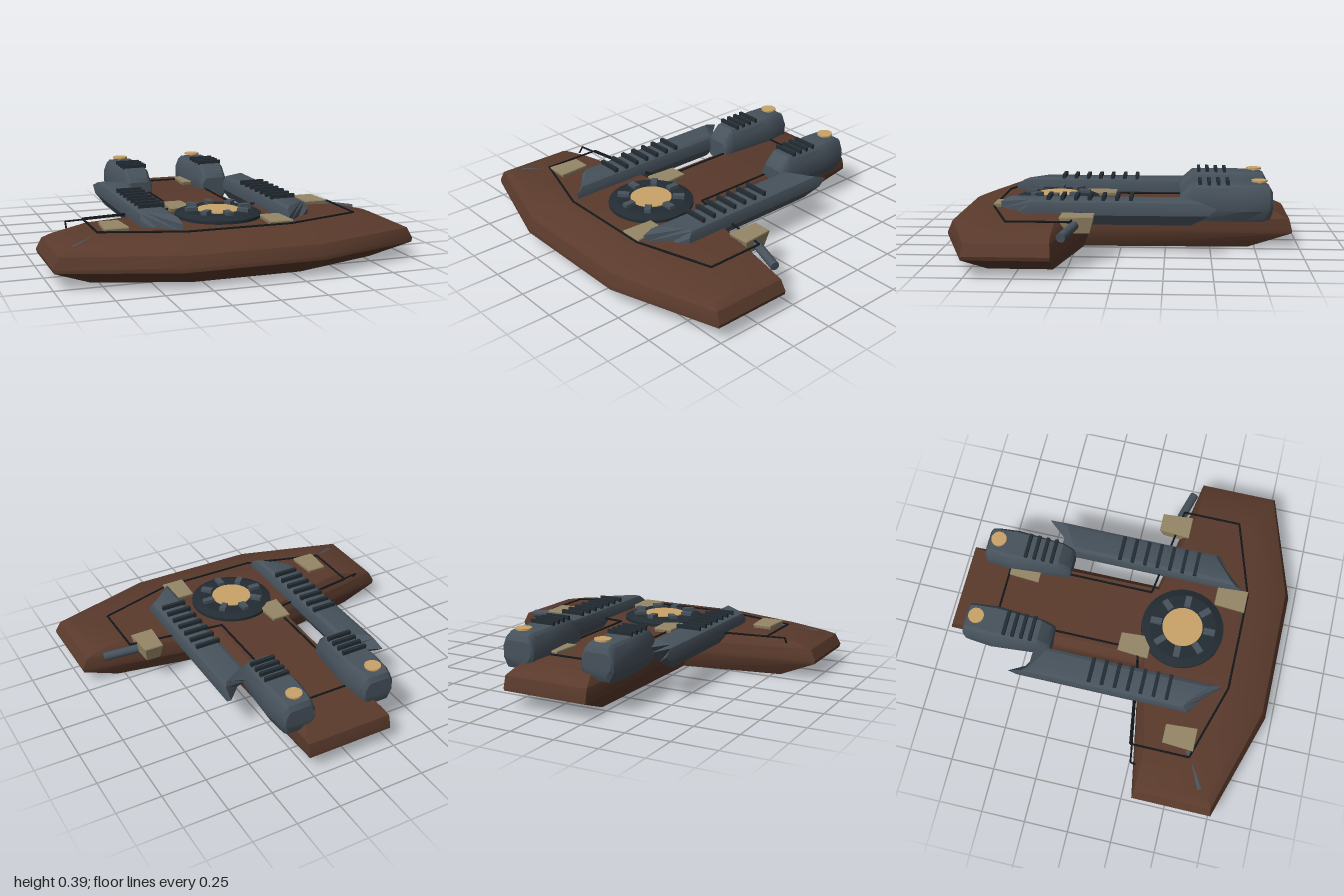
import * as THREE from 'three';
import { toCreasedNormals } from 'three/addons/utils/BufferGeometryUtils.js';

const mat = (name, color) => new THREE.MeshStandardMaterial({ name, color });

// Closed skin through a list of equal-length rings, capped at both ends
function loft(rings, crease = 0.45) {
  const n = rings[0].length, tris = [];
  const tri = (a, b, c) => tris.push([a, b, c]);
  for (let k = 0; k < rings.length - 1; k++) {
    const a = rings[k], b = rings[k + 1];
    for (let i = 0; i < n; i++) {
      const j = (i + 1) % n;
      tri(a[i], a[j], b[j]);
      tri(a[i], b[j], b[i]);
    }
  }
  const first = rings[0], last = rings[rings.length - 1];
  for (let i = 0; i < n / 2 - 1; i++) {
    const p = n - 1 - i, q = n - 2 - i;
    tri(last[i], last[i + 1], last[q]);
    tri(last[i], last[q], last[p]);
    tri(first[q], first[i + 1], first[i]);
    tri(first[p], first[q], first[i]);
  }
  // Turn the faces outward if the rings ran the other way
  let volume = 0;
  for (const [a, b, c] of tris) volume += a.dot(b.clone().cross(c));
  if (volume < 0) tris.forEach((t) => t.reverse());
  const g = new THREE.BufferGeometry().setFromPoints(tris.flat());
  g.computeVertexNormals();
  return toCreasedNormals(g, crease);
}

export function createModel() {
  const root = new THREE.Group();
  const hullBrown = mat('hull brown', 0x5a3a2c);
  const steel = mat('blue grey steel', 0x47525c);
  const dark = mat('dark steel', 0x232c33);
  const trim = mat('black trim', 0x14181b);
  const tan = mat('tan housing', 0x968767);
  const gold = mat('gold panel', 0xc9a469);
  const V = (x, y, z) => new THREE.Vector3(x, y, z);

  const add = (name, geo, material, x = 0, y = 0, z = 0, parent = root) => {
    const m = new THREE.Mesh(geo, material);
    m.name = name;
    m.position.set(x, y, z);
    parent.add(m);
    return m;
  };
  // Rod between two points
  const rod = (name, a, b, r, material, sides = 6) => {
    const d = b.clone().sub(a);
    const m = add(name, new THREE.CylinderGeometry(r, r, d.length(), sides), material);
    m.position.copy(a).add(b).multiplyScalar(0.5);
    m.quaternion.setFromUnitVectors(V(0, 1, 0), d.normalize());
  };

  // Hull: T-shaped plan, half outline per height from bow to stern
  const levels = [
    [0, [[0.3, 0.82], [0.79, 0.66], [0.79, 0.32], [0.22, 0.21], [0.2, -0.71]]],
    [0.09, [[0.38, 0.955], [0.995, 0.76], [0.995, 0.31], [0.25, 0.18], [0.25, -0.955]]],
    [0.11, [[0.38, 0.955], [1, 0.76], [1, 0.31], [0.25, 0.18], [0.25, -0.955]]],
    [0.17, [[0.37, 0.93], [0.97, 0.75], [0.97, 0.315], [0.25, 0.185], [0.248, -0.94]]],
    [0.19, [[0.35, 0.89], [0.92, 0.72], [0.92, 0.32], [0.24, 0.19], [0.235, -0.9]]],
    [0.233, [[0.3, 0.79], [0.73, 0.66], [0.73, 0.32], [0.21, 0.2], [0.2, -0.8]]],
  ];
  add('hull', loft(levels.map(([y, half]) => [
    ...half.map(([x, z]) => V(x, y, z)),
    ...half.map(([x, z]) => V(-x, y, z)).reverse(),
  ])), hullBrown);

  // Deck trim line, and a second rail behind the right wing
  const side = [[0.29, 0.71], [0.73, 0.575], [0.73, 0.24], [0.18, 0.16], [0.18, -0.685]];
  const loop = [...side, ...side.map(([x, z]) => [-x, z]).reverse()];
  loop.forEach(([x, z], i) => {
    const [u, w] = loop[(i + 1) % loop.length];
    rod('deckTrim', V(x, 0.237, z), V(u, 0.237, w), 0.006, trim);
  });
  const rail = [V(-0.83, 0.2, 0.29), V(-0.83, 0.234, 0.265), V(-0.25, 0.234, 0.175)];
  for (let i = 0; i < 2; i++) rod('rearRail', rail[i], rail[i + 1], 0.005, trim);

  // Long side arms and rear pods, mirrored
  for (const s of [1, -1]) {
    const group = new THREE.Group();
    group.name = s > 0 ? 'leftNacelle' : 'rightNacelle';
    root.add(group);

    // Arm: rounded section with slanted, tapering ends
    const section = [[0.33, 0.304], [0.45, 0.304], [0.472, 0.294], [0.482, 0.265], [0.482, 0.225],
      [0.445, 0.168], [0.335, 0.168], [0.3, 0.225], [0.3, 0.265], [0.31, 0.294]];
    const front = section.map(([x, y]) =>
      V(s * x, y, 0.67 - (x - 0.3) * 0.89 - Math.max(0, y - 0.265) * 1.2));
    const back = section.map(([x, y]) =>
      V(s * x, y, -0.53 + (0.482 - x) * 0.6 + Math.max(0, y - 0.265) * 2.4 + Math.max(0, 0.265 - y) * 1.2));
    add('arm', loft([front, back]), steel, 0, 0, 0, group);
    for (let i = 0; i < 7; i++)
      add('armRib', new THREE.BoxGeometry(0.144, 0.025, 0.02), dark, s * 0.383, 0.313, 0.382 - i * 0.0745, group);

    // Pod: z, half width, bottom, top
    const cx = s * 0.243;
    const stations = [
      [-0.84, 0.083, 0.215, 0.33], [-0.825, 0.095, 0.18, 0.358], [-0.79, 0.1, 0.167, 0.372],
      [-0.67, 0.112, 0.167, 0.373], [-0.4, 0.09, 0.167, 0.373], [-0.345, 0.084, 0.175, 0.325],
      [-0.33, 0.077, 0.19, 0.3],
    ];
    add('pod', loft(stations.map(([z, w, b, t]) => {
      const h = t - b;
      const half = [[0.65, t], [0.8, t - h * 0.08], [1, t - h * 0.36], [1, b + h * 0.3], [0.72, b]];
      return [...half.map(([k, y]) => V(cx + k * w, y, z)),
        ...half.map(([k, y]) => V(cx - k * w, y, z)).reverse()];
    })), steel, 0, 0, 0, group);
    for (let i = 0; i < 4; i++)
      add('podRib', new THREE.BoxGeometry(0.145, 0.024, 0.019), dark, cx, 0.381, -0.44 - i * 0.051, group);
    add('podDisc', new THREE.CylinderGeometry(0.045, 0.045, 0.01, 20), gold, cx, 0.386, -0.77, group);
    add('podDiscStem', new THREE.CylinderGeometry(0.01, 0.01, 0.03, 8), gold, cx, 0.37, -0.77, group);
  }

  // Round hub on the foredeck
  const hub = new THREE.Group();
  hub.name = 'hub';
  hub.position.set(0, 0, 0.38);
  root.add(hub);
  const ring = new THREE.LatheGeometry([[0.112, 0.22], [0.112, 0.264], [0.13, 0.268], [0.195, 0.268],
    [0.238, 0.25], [0.238, 0.22]].reverse().map(([x, y]) => new THREE.Vector2(x, y)), 40);
  add('hubRing', toCreasedNormals(ring, 0.3), dark, 0, 0, 0, hub);
  add('hubPanel', new THREE.CylinderGeometry(0.116, 0.116, 0.05, 40), gold, 0, 0.246, 0, hub);
  for (let i = 0; i < 8; i++) {
    const a = i * Math.PI / 4;
    const block = add('hubBlock', new THREE.BoxGeometry(0.036, 0.035, 0.065), steel,
      Math.sin(a) * 0.155, 0.27, Math.cos(a) * 0.155, hub);
    block.rotation.y = a;
  }

  // Tapered deck housings, wider at the front and the top
  const housing = [[0.1, 0.165, 0.75], [0, 0.25, 1], [0, 0.256, 0.97]];
  for (const [x, z] of [[-0.63, 0.5], [-0.16, 0.135], [0.24, 0.62], [0.63, 0.21], [0.15, -0.59]])
    add('deckHousing', loft(housing.map(([, y, k]) => [V(0.054 * k, y, -0.09 * k), V(0.066 * k, y, 0.09 * k),
      V(-0.066 * k, y, 0.09 * k), V(-0.054 * k, y, -0.09 * k)])), tan, x, 0, z);

  // Small barrels beside the outer housings
  rod('leftBarrel', V(0.69, 0.21, 0.22), V(0.88, 0.185, 0.27), 0.025, steel, 14);
  rod('rightBarrel', V(-0.69, 0.218, 0.56), V(-0.88, 0.18, 0.67), 0.022, steel, 14);

  return root;
}
